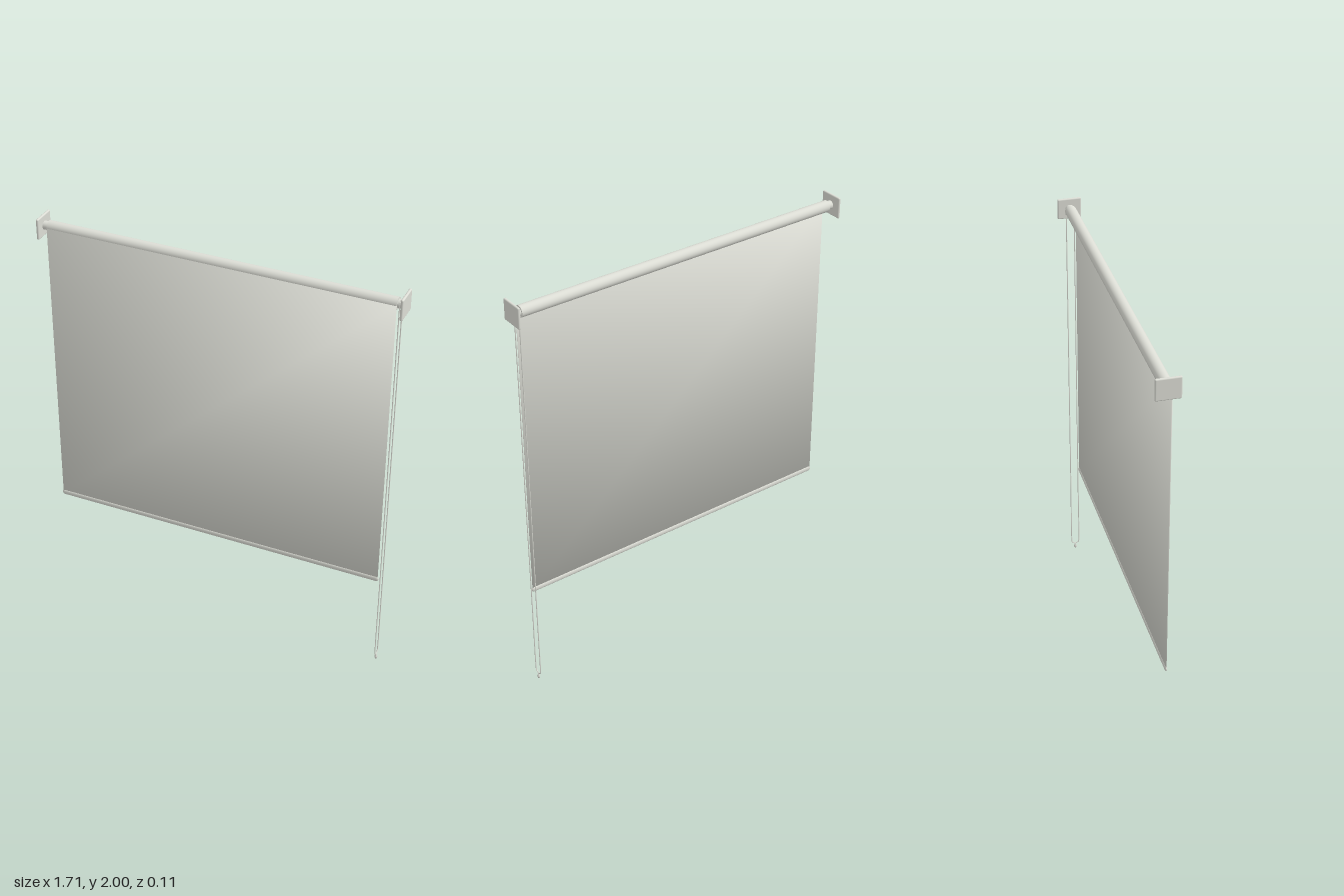
import * as THREE from 'three';
import { RoundedBoxGeometry } from 'three/addons/geometries/RoundedBoxGeometry.js';

const ROLLER_Y = 1.95;
const CHAIN_X = 0.826;

export function createModel() {
  const model = new THREE.Group();
  model.name = 'rollerBlind';
  const offWhite = new THREE.MeshStandardMaterial({ color: 0xdcddd5 });
  offWhite.name = 'offWhite';

  const add = (name, geometry, x = 0, y = 0, z = 0) => {
    const mesh = new THREE.Mesh(geometry, offWhite);
    mesh.name = name;
    mesh.position.set(x, y, z);
    model.add(mesh);
    return mesh;
  };
  // Cylinder lying along x
  const rod = (radius, length) =>
    new THREE.CylinderGeometry(radius, radius, length, 32).rotateZ(Math.PI / 2);

  // Rolled fabric tube
  add('roller', rod(0.027, 1.63), 0, ROLLER_Y, 0);

  // Hanging sheet: a thin box with soft normals shared at its corners
  const sheet = new THREE.BoxGeometry(1.63, 1.45, 0.004);
  const p = sheet.attributes.position;
  const n = new THREE.Vector3();
  for (let i = 0; i < p.count; i++) {
    n.set(Math.sign(p.getX(i)), Math.sign(p.getY(i)), Math.sign(p.getZ(i))).normalize();
    sheet.attributes.normal.setXYZ(i, n.x, n.y, n.z);
  }
  add('fabricSheet', sheet, 0, 1.225, 0.025);

  // Oval hem bar with domed ends
  const hem = new THREE.CapsuleGeometry(0.013, 1.62, 6, 20).rotateZ(Math.PI / 2);
  hem.scale(1.64 / 1.646, 1, 0.45);
  add('hemBar', hem, 0, 0.503, 0.025);

  // Wall brackets and axle pins, mirrored
  for (const [side, s] of [['left', 1], ['right', -1]]) {
    add(side + 'Bracket', new RoundedBoxGeometry(0.013, 0.1, 0.112, 4, 0.006), s * 0.846, ROLLER_Y, 0);
    add(side + 'AxlePin', rod(0.02, 0.035), s * 0.826, ROLLER_Y, 0);
  }

  // Pull cord: one long loop over the axle pin
  const half = 0.019;
  const points = [];
  for (let i = 0; i <= 12; i++) {
    const a = (i / 12) * Math.PI;
    points.push(new THREE.Vector3(0, ROLLER_Y + Math.sin(a) * half, Math.cos(a) * half));
  }
  for (const y of [1.9, 1.4, 0.9, 0.4, 0.06]) points.push(new THREE.Vector3(0, y, -half));
  points.push(
    new THREE.Vector3(0, 0.04, -half * 0.9),
    new THREE.Vector3(0, 0.03, 0),
    new THREE.Vector3(0, 0.04, half * 0.9)
  );
  for (const y of [0.06, 0.4, 0.9, 1.4, 1.9]) points.push(new THREE.Vector3(0, y, half));
  const loop = new THREE.CatmullRomCurve3(points, true, 'centripetal');
  add('pullCord', new THREE.TubeGeometry(loop, 400, 0.0025, 8, true), CHAIN_X, 0, 0);

  // Small weight under the cord loop
  const weight = [[0, 0], [0.004, 0.002], [0.007, 0.009], [0.007, 0.014], [0.004, 0.021], [0.003, 0.03], [0, 0.032]]
    .map(([r, y]) => new THREE.Vector2(r, y));
  add('cordWeight', new THREE.LatheGeometry(weight, 16), CHAIN_X, 0, 0);

  return model;
}
